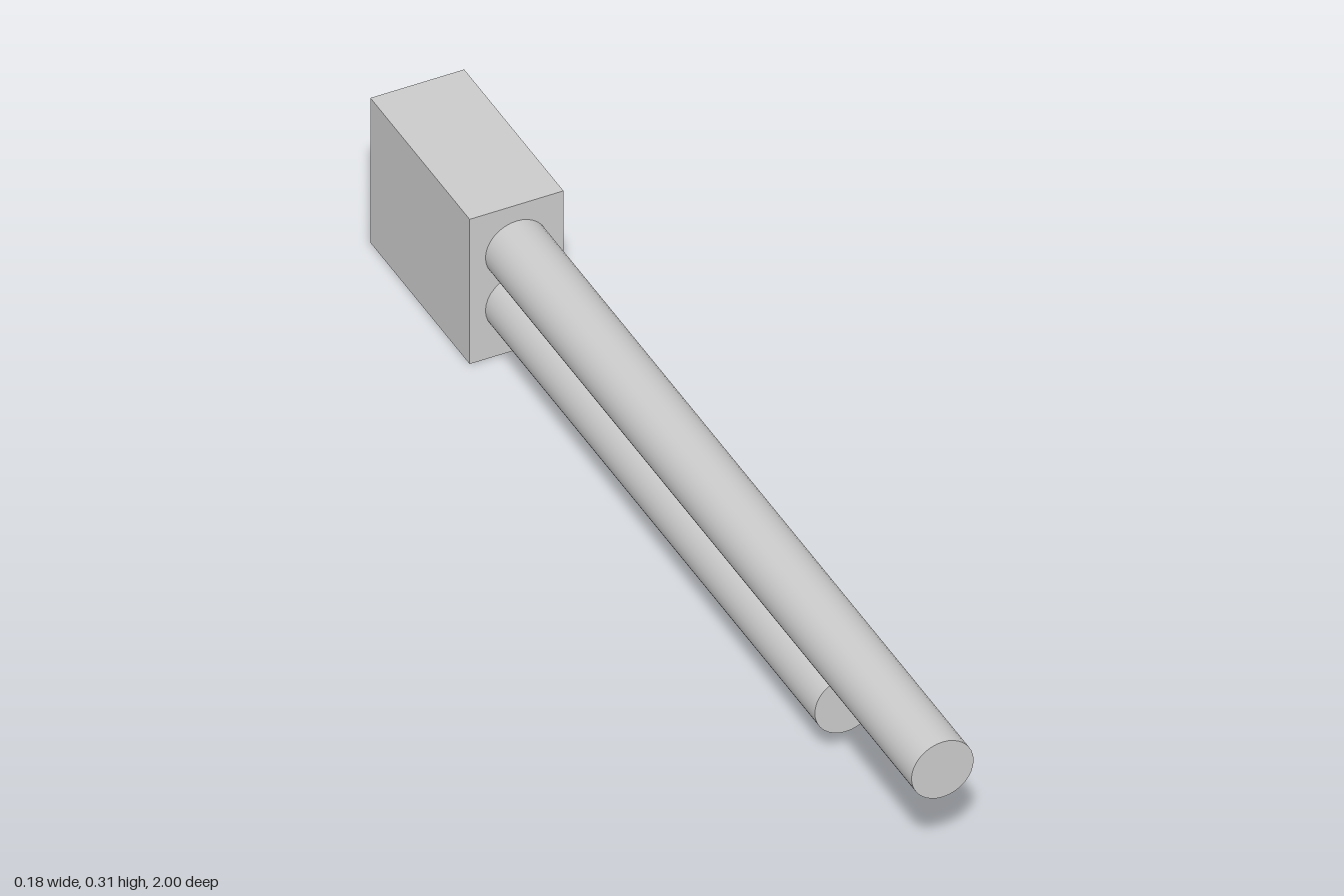
import * as THREE from 'three';

const BACK = -1, BLOCK_FRONT = -0.622, BLOCK_HEIGHT = 0.31, ROD_RADIUS = 0.059;

export function createModel() {
  const group = new THREE.Group();
  const grey = new THREE.MeshStandardMaterial({ color: 0xcccccc });

  function add(name, geometry, y, z) {
    const mesh = new THREE.Mesh(geometry, grey);
    mesh.name = name;
    mesh.position.set(0, y, z);
    group.add(mesh);
  }

  // Round rod running forward from the block's front face
  function addRod(name, y, frontZ) {
    const length = frontZ - BLOCK_FRONT;
    const geometry = new THREE.CylinderGeometry(ROD_RADIUS, ROD_RADIUS, length, 32);
    geometry.rotateX(Math.PI / 2);
    add(name, geometry, y, (frontZ + BLOCK_FRONT) / 2);
  }

  // Rear block
  const depth = BLOCK_FRONT - BACK;
  add('rearBlock', new THREE.BoxGeometry(0.178, BLOCK_HEIGHT, depth), BLOCK_HEIGHT / 2, BACK + depth / 2);

  // Long upper rod and shorter lower rod
  addRod('upperRod', 0.217, 1);
  addRod('lowerRod', 0.104, 0.632);

  return group;
}
